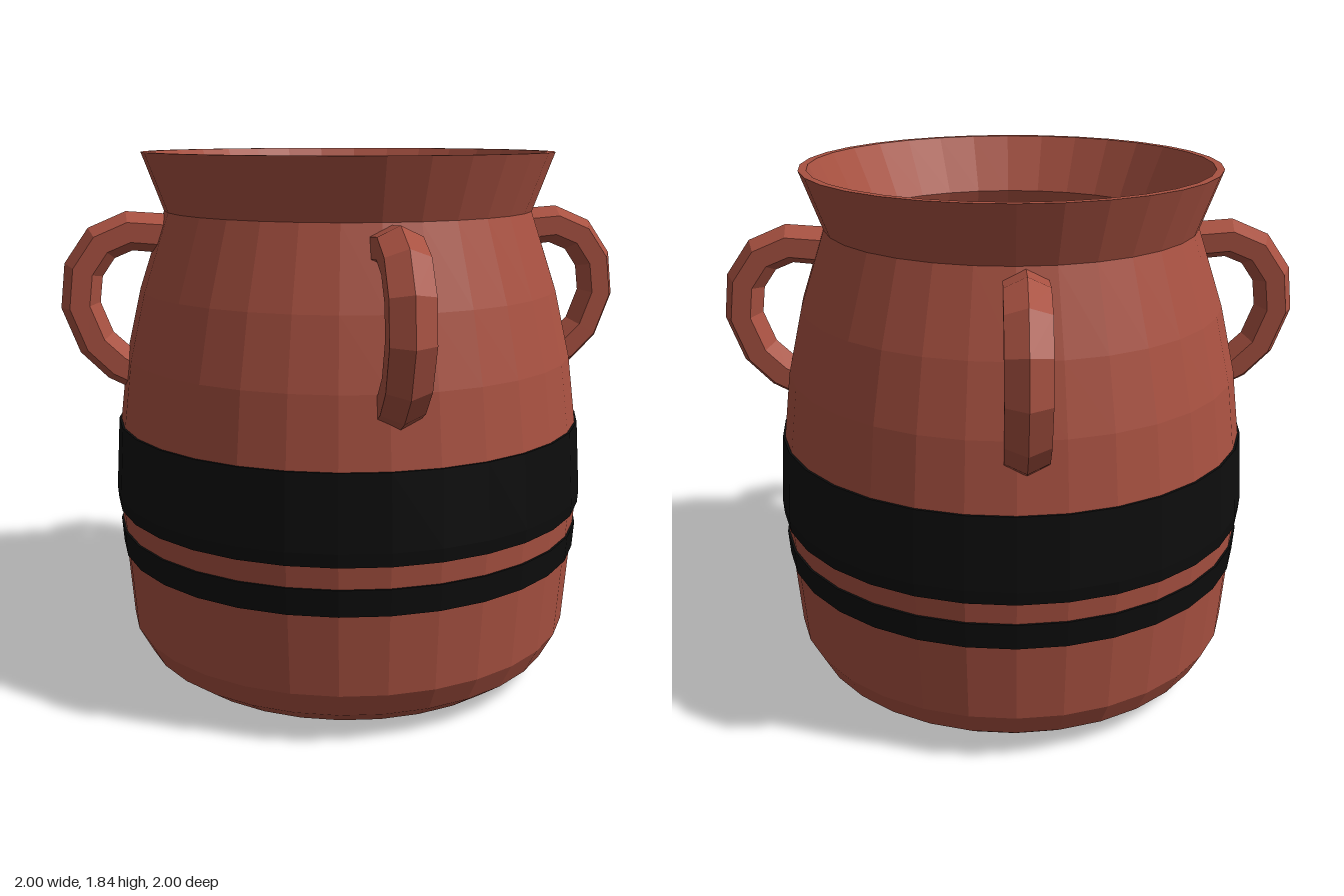
import * as THREE from 'three';

const SIDES = 32;

// Gives every face its own normal for a faceted look
function faceted(geometry) {
  const flat = geometry.index ? geometry.toNonIndexed() : geometry;
  flat.computeVertexNormals();
  return flat;
}

function lathe(points) {
  return faceted(new THREE.LatheGeometry(points.map(([r, y]) => new THREE.Vector2(r, y)), SIDES));
}

// Hexagonal bar swept along a bent path in the xy plane, ridge facing outwards
function handleGeometry() {
  const path = [[0.64, 1.57], [0.76, 1.58], [0.855, 1.54], [0.918, 1.45],
    [0.933, 1.33], [0.885, 1.2], [0.81, 1.125], [0.76, 1.1]];
  const positions = [], index = [];
  path.forEach(([x, y], j) => {
    const before = path[Math.max(j - 1, 0)];
    const after = path[Math.min(j + 1, path.length - 1)];
    const tangent = new THREE.Vector2(after[0] - before[0], after[1] - before[1]).normalize();
    for (let k = 0; k < 6; k++) {
      const a = (k * Math.PI) / 3;
      const out = 0.067 * Math.cos(a);
      positions.push(x - tangent.y * out, y + tangent.x * out, 0.08 * Math.sin(a));
      if (j < path.length - 1) {
        const p = j * 6 + k, q = j * 6 + ((k + 1) % 6);
        index.push(p, q, q + 6, p, q + 6, p + 6);
      }
    }
  });
  const last = (path.length - 1) * 6;
  for (let k = 1; k < 5; k++) {
    index.push(0, k + 1, k, last, last + k, last + k + 1);
  }
  const geometry = new THREE.BufferGeometry();
  geometry.setAttribute('position', new THREE.Float32BufferAttribute(positions, 3));
  geometry.setIndex(index);
  return faceted(geometry);
}

export function createModel() {
  const clay = new THREE.MeshStandardMaterial({ color: 0xa85141 });
  clay.name = 'terracotta';
  const black = new THREE.MeshStandardMaterial({ color: 0x0d0d0d });
  black.name = 'black glaze';

  const model = new THREE.Group();
  model.name = 'pot';
  const add = (name, geometry, material) => {
    const mesh = new THREE.Mesh(geometry, material);
    mesh.name = name;
    model.add(mesh);
    return mesh;
  };

  // Wall: up the outside, over the rim, down the inside
  add('potBody', lathe([
    [0, 0], [0.55, 0], [0.67, 0.03], [0.75, 0.09], [0.797, 0.18],
    [0.832, 0.67], [0.815, 0.92], [0.785, 1.15], [0.73, 1.38], [0.64, 1.645],
    [0.712, 1.842], [0.685, 1.842], [0.59, 1.645], [0.68, 1.38], [0.735, 1.15], [0.765, 0.9],
  ]), clay);

  // Painted bands, standing just proud of the wall
  add('wideBand', lathe([[0.825, 0.625], [0.837, 0.625], [0.84, 0.67], [0.823, 0.92], [0.81, 0.92]]), black);
  add('narrowBand', lathe([[0.81, 0.46], [0.825, 0.46], [0.831, 0.55], [0.818, 0.55]]), black);

  // Dark surface inside with a clay sliver across it
  const inside = new THREE.CircleGeometry(0.775, SIDES).rotateX(-Math.PI / 2);
  add('insideSurface', inside, black).position.y = 0.92;
  const sliver = new THREE.Shape([
    new THREE.Vector2(0.78, 0), new THREE.Vector2(-0.75, 0.078), new THREE.Vector2(-0.75, -0.078),
  ]);
  add('insideSliver', new THREE.ShapeGeometry(sliver).rotateX(-Math.PI / 2), clay).position.y = 0.924;

  // Four handles, each set a little off centre
  const handle = handleGeometry().translate(0, 0, -0.03);
  ['left', 'back', 'right', 'front'].forEach((side, i) => {
    add(side + 'Handle', handle, clay).rotation.y = (i * Math.PI) / 2;
  });

  return model;
}
